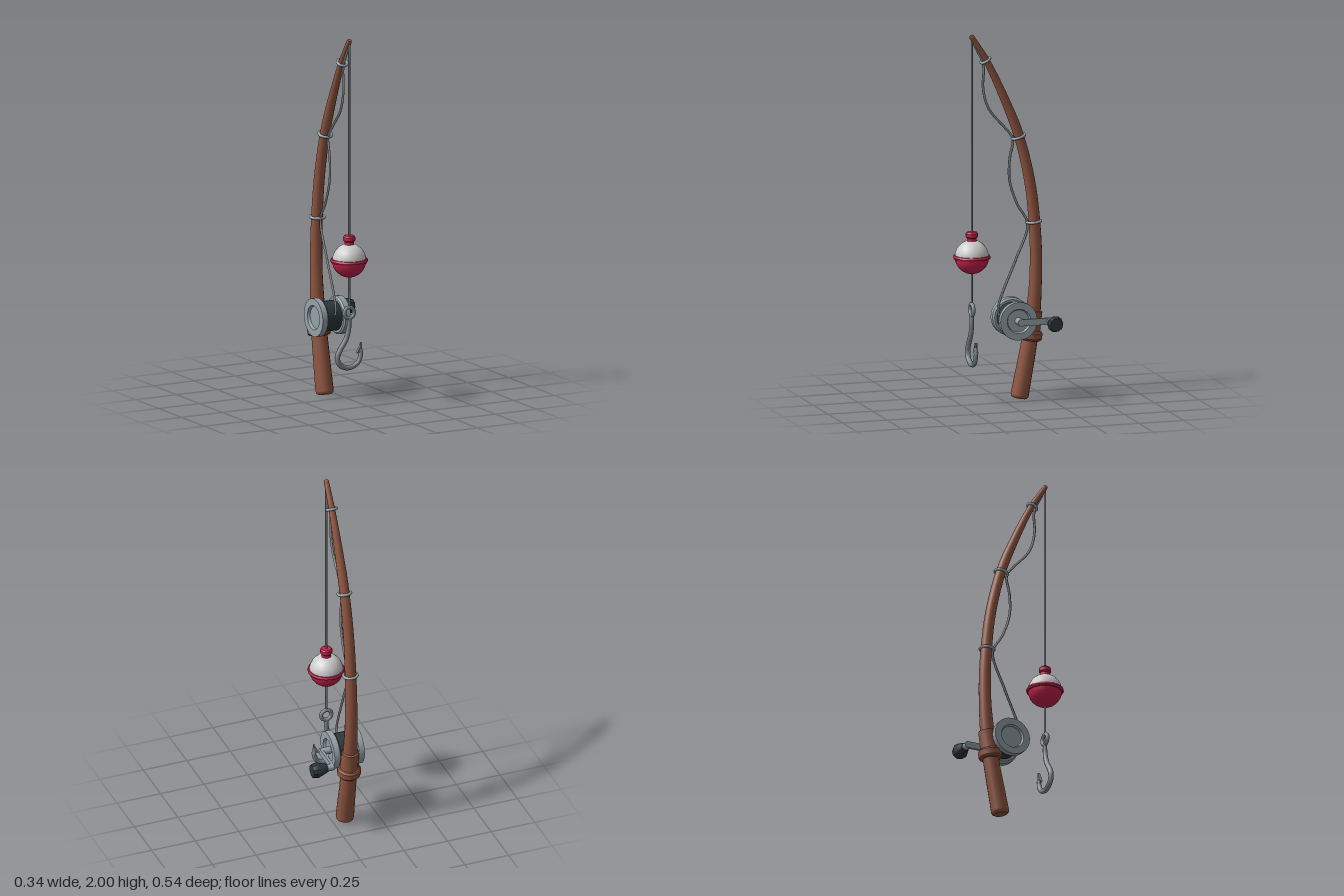
import * as THREE from 'three';
import { toCreasedNormals } from 'three/addons/utils/BufferGeometryUtils.js';

const X = -0.07, HANG_Z = 0.17;
const mat = (color) => new THREE.MeshStandardMaterial({ color });
const v = (x, y, z) => new THREE.Vector3(x, y, z);
const UP = v(0, 1, 0);

export function createModel() {
  const model = new THREE.Group();
  const wood = mat(0x8f5540), metal = mat(0x95a2a8), dark = mat(0x2a383b);
  const lineMat = mat(0x85898b), red = mat(0xc4234a), white = mat(0xcccccc), hookMat = mat(0x7f8a8e);

  const add = (name, geometry, material, x = 0, y = 0, z = 0, parent = model) => {
    const mesh = new THREE.Mesh(geometry, material);
    mesh.name = name;
    mesh.position.set(x, y, z);
    parent.add(mesh);
    return mesh;
  };
  // Turned part from [radius, height] pairs, bottom to top
  const turned = (pairs, sides = 20) => toCreasedNormals(
    new THREE.LatheGeometry(pairs.map(([r, h]) => new THREE.Vector2(r, h)), sides), 0.6);
  // Tube whose radius varies along its length
  const taperedTube = (curve, segments, sides, radiusAt) => {
    const geo = new THREE.TubeGeometry(curve, segments, 1, sides);
    const pos = geo.attributes.position, p = v(0, 0, 0);
    for (let i = 0; i <= segments; i++) {
      const c = curve.getPointAt(i / segments), r = radiusAt(i / segments);
      for (let j = 0; j <= sides; j++) {
        const k = i * (sides + 1) + j;
        p.fromBufferAttribute(pos, k).sub(c).multiplyScalar(r).add(c);
        pos.setXYZ(k, p.x, p.y, p.z);
      }
    }
    geo.computeBoundingSphere();
    return geo;
  };

  // Bent rod, [y, z] down the centre
  const rodCurve = new THREE.CatmullRomCurve3([
    [0.022, -0.098], [0.345, -0.158], [0.55, -0.182], [0.757, -0.19], [0.96, -0.181], [1.18, -0.155],
    [1.43, -0.095], [1.63, -0.017], [1.857, 0.09], [1.985, 0.17],
  ].map(([y, z]) => v(X, y, z)));
  const rodRadius = (t) => (t < 0.2 ? 0.049 - t * 0.04 : t < 0.3 ? 0.041 - (t - 0.2) * 0.07
    : t < 0.75 ? 0.034 - (t - 0.3) * 0.018 : 0.026 - (t - 0.75) * 0.048);
  add('rod', taperedTube(rodCurve, 40, 14, rodRadius), wood);

  // Put a part on the rod at a given height, its y axis along the rod
  const onRod = (mesh, y) => {
    let t = 0;
    while (t < 1 && rodCurve.getPointAt(t).y < y) t += 0.002;
    t = Math.min(t, 1);
    mesh.position.copy(rodCurve.getPointAt(t));
    mesh.quaternion.setFromUnitVectors(UP, rodCurve.getTangentAt(t));
    return mesh;
  };
  onRod(add('rodButt', turned([[0, -0.016], [0.036, -0.016], [0.046, -0.008], [0.049, 0.002]], 14), wood), 0.02);
  onRod(add('rodTip', turned([[0.014, 0], [0.011, 0.009], [0, 0.01]], 14), wood), 2);
  onRod(add('reelCollar', turned([[0.04, -0.03], [0.056, -0.028], [0.064, -0.018], [0.064, 0.014],
    [0.056, 0.024], [0.049, 0.026], [0.046, 0.13], [0.035, 0.134]], 16), wood), 0.345);

  // Line guides
  for (const [y, r] of [[0.96, 0.038], [1.43, 0.035], [1.857, 0.027]]) {
    const guide = onRod(new THREE.Group(), y);
    guide.name = 'lineGuide';
    model.add(guide);
    add('guideRing', new THREE.TorusGeometry(r, 0.008, 8, 14), metal, 0, 0, 0.004, guide).rotation.x = Math.PI / 2;
  }

  // Slack line from reel through the guides, [y, z]
  const slack = new THREE.CatmullRomCurve3([
    [0.46, 0.018], [0.5, 0.024], [0.58, 0.0], [0.757, -0.075], [0.95, -0.143], [1.06, -0.085], [1.19, -0.042],
    [1.31, -0.042], [1.42, -0.06], [1.476, -0.02], [1.59, 0.075], [1.7, 0.107], [1.835, 0.106], [1.93, 0.15], [1.975, 0.168],
  ].map(([y, z]) => v(X, y, z)));
  add('slackLine', new THREE.TubeGeometry(slack, 56, 0.007, 6), lineMat);
  add('hangingLine', new THREE.CylinderGeometry(0.006, 0.006, 1.44, 6), lineMat, X, 1.255, HANG_Z);

  // Reel, turning about x
  const reel = new THREE.Group();
  reel.name = 'reel';
  reel.position.set(X, 0.44, -0.067);
  model.add(reel);
  add('spool', new THREE.CylinderGeometry(0.082, 0.082, 0.11, 20), dark, 0, 0, 0, reel).rotation.z = Math.PI / 2;
  const flange = turned([[0, 0.046], [0.094, 0.046], [0.104, 0.054], [0.104, 0.086], [0.066, 0.086],
    [0.06, 0.072], [0, 0.072]], 24);
  for (const side of [-1, 1]) {
    add('reelFlange', flange, metal, 0, 0, 0, reel).rotation.z = -side * Math.PI / 2;
  }
  // Crank
  const axle = (name, r, x0, x1, z) => {
    add(name, new THREE.CylinderGeometry(r, r, x1 - x0, 12), metal, (x0 + x1) / 2, 0, z, reel).rotation.z = Math.PI / 2;
  };
  axle('crankShaft', 0.02, 0.07, 0.13, 0);
  axle('crankPin', 0.019, 0.118, 0.16, -0.161);
  add('crankArm', new THREE.BoxGeometry(0.014, 0.036, 0.161), metal, 0.124, 0, -0.08, reel);
  add('crankKnob', turned([[0, 0], [0.022, 0], [0.026, 0.008], [0.044, 0.06], [0.036, 0.087], [0, 0.088]], 10),
    dark, 0.154, 0, -0.161, reel).rotation.z = -Math.PI / 2;

  // Bobber
  const bobber = new THREE.Group();
  bobber.name = 'bobber';
  bobber.position.set(X, 0.79, HANG_Z);
  model.add(bobber);
  add('floatTop', new THREE.SphereGeometry(0.092, 16, 8, 0, Math.PI * 2, 0, Math.PI / 2), white, 0, 0, 0, bobber);
  add('floatBottom', new THREE.SphereGeometry(0.092, 16, 8, 0, Math.PI * 2, Math.PI / 2, Math.PI / 2), red, 0, 0, 0, bobber);
  add('floatRim', turned([[0.085, -0.012], [0.097, -0.01], [0.102, 0], [0.097, 0.01], [0.085, 0.011]], 16), red, 0, 0, 0, bobber);
  add('floatCap', turned([[0.027, 0.08], [0.026, 0.102], [0.033, 0.11], [0.033, 0.128], [0.027, 0.136], [0, 0.136]], 14),
    red, 0, 0, 0, bobber);

  // Hook in the plane facing front
  const hook = new THREE.Group();
  hook.name = 'hook';
  hook.position.set(X, 0, HANG_Z);
  model.add(hook);
  add('hookEye', new THREE.TorusGeometry(0.03, 0.011, 8, 16), hookMat, 0, 0.503, 0, hook);
  const bend = new THREE.CatmullRomCurve3([
    [0, 0.475], [-0.002, 0.42], [-0.02, 0.36], [-0.056, 0.305], [-0.072, 0.265], [-0.058, 0.225],
    [-0.004, 0.203], [0.048, 0.222], [0.07, 0.262], [0.071, 0.285],
  ].map(([x, y]) => v(x, y, 0)));
  add('hookBend', taperedTube(bend, 36, 8, (t) => 0.012 + 0.003 * Math.sin(Math.PI * t)), hookMat, 0, 0, 0, hook);
  add('hookPoint', new THREE.ConeGeometry(0.014, 0.062, 8), hookMat, 0.07, 0.308, 0, hook);
  const barb = new THREE.Shape([[0.074, 0.335], [0.044, 0.278], [0.068, 0.284]].map(([x, y]) => new THREE.Vector2(x, y)));
  add('hookBarb', new THREE.ExtrudeGeometry(barb, { depth: 0.016, bevelEnabled: false }), hookMat, 0, 0, -0.008, hook);

  return model;
}
